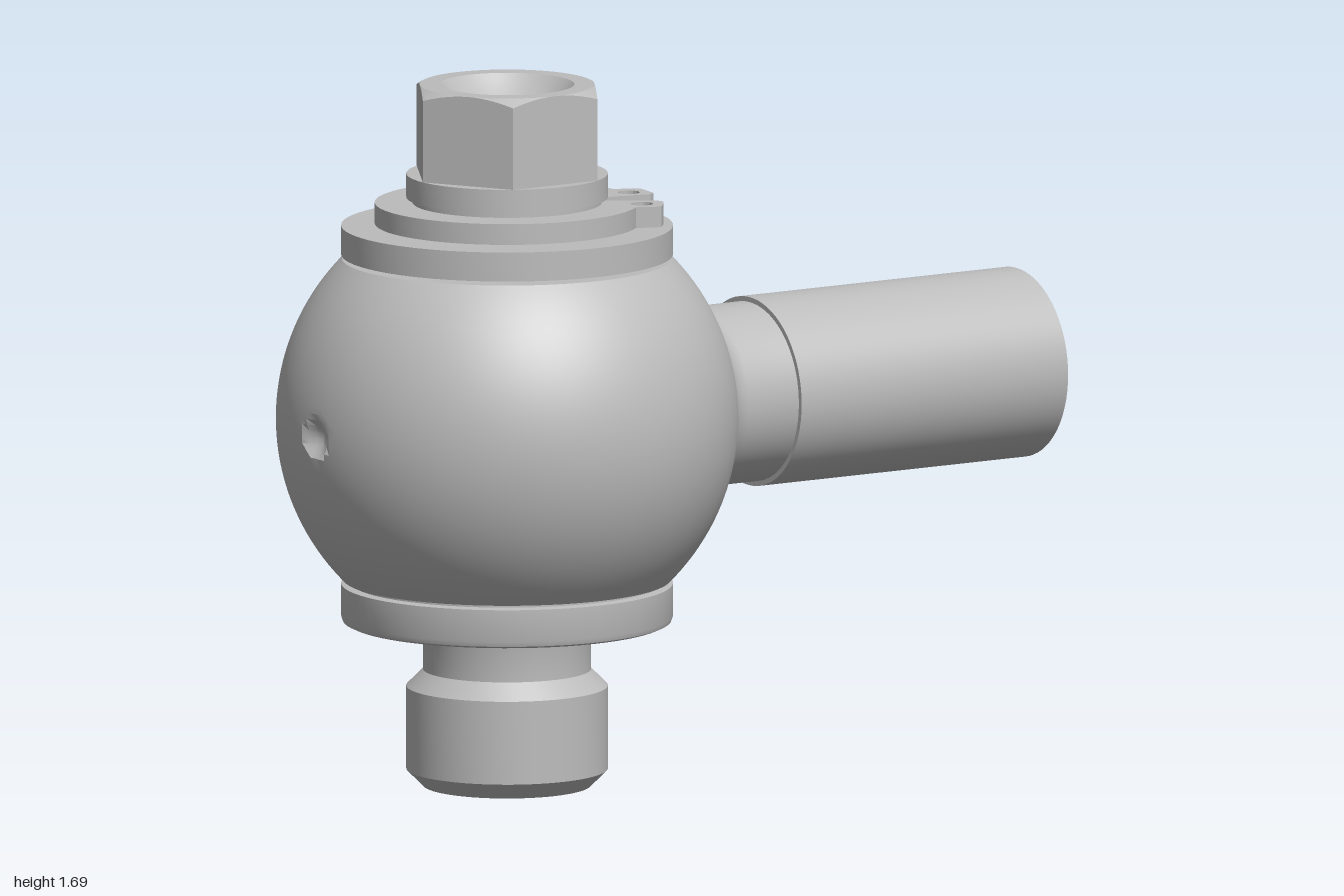
import * as THREE from 'three';
import { toCreasedNormals } from 'three/addons/utils/BufferGeometryUtils.js';

const AXIS_X = -0.45, BALL_Y = 0.885, BALL_R = 0.55;

// Turned part: [radius, height] profile, crisp at corners and smooth on curves
function turned(points, segments = 72, reshape = null) {
  const geo = new THREE.LatheGeometry(points.map(([r, y]) => new THREE.Vector2(r, y)), segments, Math.PI / 2);
  if (reshape) {
    const pos = geo.attributes.position, v = new THREE.Vector3();
    for (let i = 0; i < pos.count; i++) {
      reshape(v.fromBufferAttribute(pos, i));
      pos.setXYZ(i, v.x, v.y, v.z);
    }
  }
  return toCreasedNormals(geo, 0.4);
}

export function createModel() {
  const model = new THREE.Group();
  model.name = 'banjoFitting';
  const steel = new THREE.MeshStandardMaterial({ color: 0xbcbcbc });
  steel.name = 'steel grey';

  const stack = new THREE.Group();
  stack.name = 'verticalStack';
  stack.position.x = AXIS_X;
  model.add(stack);
  const add = (parent, name, geo) => {
    const mesh = new THREE.Mesh(geo, steel);
    mesh.name = name;
    parent.add(mesh);
    return mesh;
  };

  // Hollow threaded bolt with its lower flange
  add(stack, 'boltAndFlange', turned([
    [0, 0.9], [0.105, 0.9], [0.105, 0.02], [0.125, 0], [0.2, 0], [0.24, 0.04], [0.24, 0.24],
    [0.2, 0.28], [0.2, 0.36], [0.204, 0.377], [0.214, 0.389], [0.23, 0.393],
    [0.38, 0.393], [0.391, 0.398], [0.395, 0.41], [0.395, 0.487], [0.375, 0.49], [0.375, 0.51],
  ]));

  // Ball body, cut flat above and below, with a small drill dimple opposite the pipe
  const ball = [[0, 0.497]], low = Math.asin((0.497 - BALL_Y) / BALL_R), high = Math.asin((1.27 - BALL_Y) / BALL_R);
  for (let i = 0; i <= 56; i++) {
    const a = low + (high - low) * i / 56;
    ball.push([BALL_R * Math.cos(a), BALL_Y + BALL_R * Math.sin(a)]);
  }
  ball.push([0, 1.27]);
  add(stack, 'ballBody', turned(ball, 180, (v) => {
    const d = Math.hypot(v.y - BALL_Y, v.z);
    if (v.x < -0.5 && d < 0.05) v.x += 0.03 * (1 - (d / 0.05) ** 2);
  }));

  // Upper washer on a narrow spacer, then the grooved collar
  add(stack, 'upperWasher', turned([
    [0.28, 1.26], [0.28, 1.28], [0.395, 1.28], [0.395, 1.35], [0.2, 1.35],
  ]));
  add(stack, 'collar', turned([
    [0.225, 1.34], [0.225, 1.418], [0.24, 1.418], [0.24, 1.475], [0, 1.475],
  ]));

  // Hexagonal head: a round profile pulled to six flats, chamfered and dished on top
  const head = [[0.24, 1.475], [0.24, 1.69], [0.208, 1.69], [0.16, 1.69]];
  for (let i = 1; i <= 12; i++) {
    const r = 0.16 * (1 - i / 12);
    head.push([r, 1.69 - 0.09 * (1 - (r / 0.16) ** 2)]);
  }
  add(stack, 'hexHead', turned(head, 72, (v) => {
    const r = Math.hypot(v.x, v.z);
    if (r < 0.23) return;
    const step = Math.PI / 3, a = Math.atan2(v.z, v.x);
    const fromFlat = a - (Math.floor(a / step + 1e-6) + 0.5) * step;
    const hex = 0.208 / Math.cos(fromFlat);
    v.x *= hex / r;
    v.z *= hex / r;
    if (v.y > 1.6) v.y -= (hex - 0.208) * 0.577;
  }));

  // Open retaining ring with two pierced ears
  const rad = THREE.MathUtils.degToRad;
  const ring = new THREE.Shape();
  const to = (r, deg) => ring.lineTo(r * Math.cos(rad(deg)), r * Math.sin(rad(deg)));
  ring.absarc(0, 0, 0.315, rad(47), rad(357), false);
  to(0.36, 0);
  ring.absarc(0, 0, 0.372, rad(2), rad(13), false);
  to(0.36, 15);
  to(0.225, 17);
  ring.absarc(0, 0, 0.225, rad(17), rad(28 - 360), true);
  to(0.36, 30);
  ring.absarc(0, 0, 0.372, rad(32), rad(42), false);
  to(0.36, 44);
  for (const deg of [7.5, 37.5]) {
    const hole = new THREE.Path();
    hole.absarc(0.322 * Math.cos(rad(deg)), 0.322 * Math.sin(rad(deg)), 0.026, 0, Math.PI * 2, true);
    ring.holes.push(hole);
  }
  const ringGeo = new THREE.ExtrudeGeometry(ring, { depth: 0.05, bevelEnabled: false, curveSegments: 48 });
  ringGeo.rotateX(Math.PI / 2);
  add(stack, 'retainingRing', toCreasedNormals(ringGeo, 0.4)).position.y = 1.405;

  // Side pipe, turned about the x axis
  const pipe = new THREE.Group();
  pipe.name = 'sidePipe';
  pipe.position.y = BALL_Y;
  pipe.rotation.z = -Math.PI / 2;
  model.add(pipe);
  const fillet = new THREE.QuadraticBezierCurve(
    new THREE.Vector2(0.27, 0.025), new THREE.Vector2(0.217, 0.056), new THREE.Vector2(0.215, 0.1));
  add(pipe, 'pipeNeck', turned([
    ...fillet.getPoints(10).map((p) => [p.x, p.y]), [0.215, 0.26],
  ]));
  add(pipe, 'outerSleeve', turned([
    [0.2, 0.24], [0.227, 0.24], [0.227, 1], [0.205, 1], [0.2, 0.99], [0.2, 0.5], [0.1, 0.5],
  ]));
  add(pipe, 'innerTube', turned([
    [0.14, 0.48], [0.14, 0.985], [0.125, 1], [0.1, 1], [0.1, 0.12], [0, 0.12],
  ]));

  return model;
}
